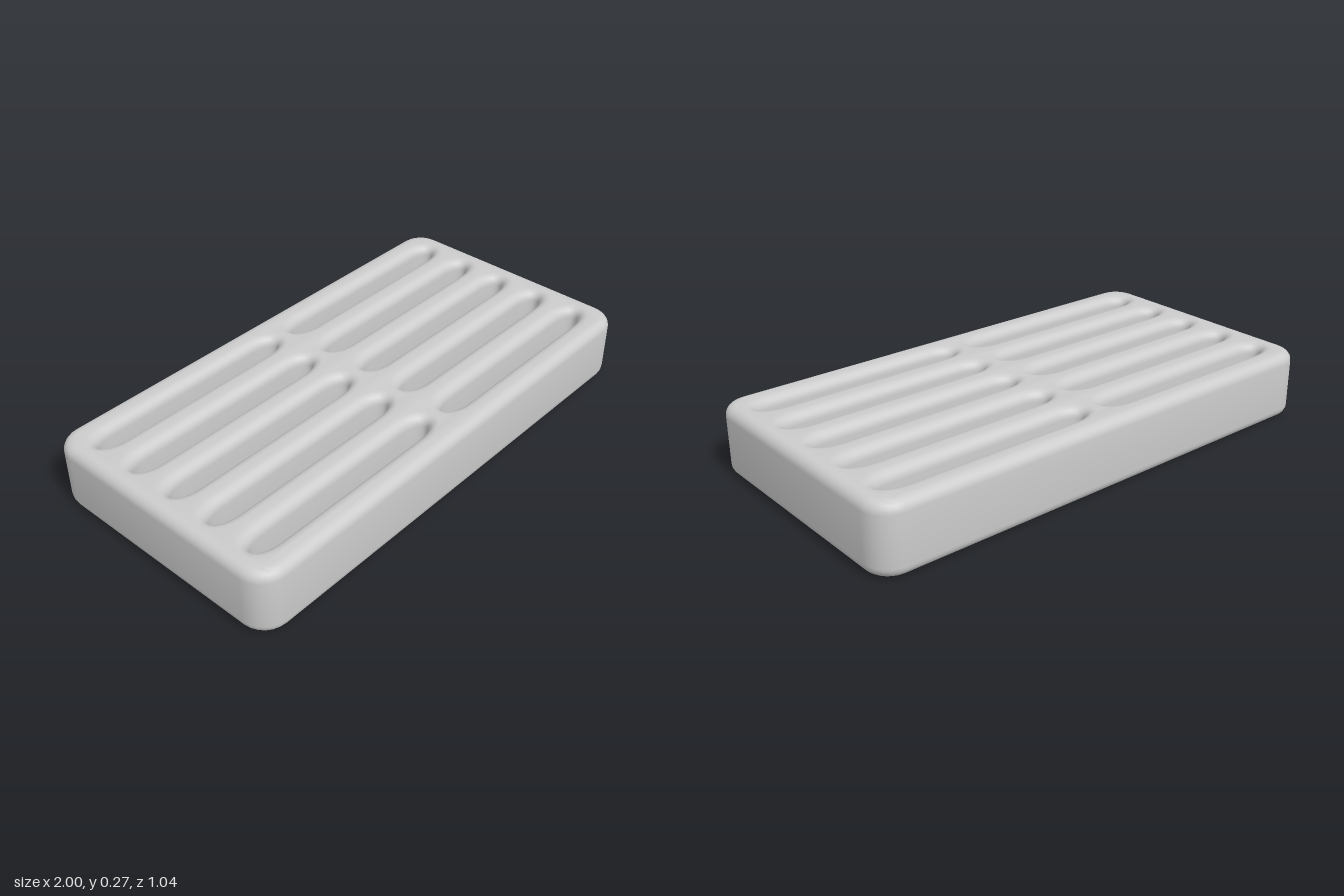
import * as THREE from 'three';
import { toCreasedNormals } from 'three/addons/utils/BufferGeometryUtils.js';

const W = 2, D = 1.04, H = 0.267, BEVEL = 0.04;

// Closed outline with elliptical corners of radii rx, ry around (cx, cy)
function roundedOutline(cx, cy, w, h, rx, ry, steps) {
  const points = [];
  [[1, 1], [-1, 1], [-1, -1], [1, -1]].forEach(([sx, sy], corner) => {
    for (let i = 0; i <= steps; i++) {
      const a = (corner + i / steps) * Math.PI / 2;
      const p = new THREE.Vector2(
        cx + sx * (w / 2 - rx) + rx * Math.cos(a),
        cy + sy * (h / 2 - ry) + ry * Math.sin(a));
      if (!points.length || p.distanceTo(points[points.length - 1]) > 1e-4) points.push(p);
    }
  });
  if (points[0].distanceTo(points[points.length - 1]) < 1e-4) points.pop();
  return points;
}

export function createModel() {
  const group = new THREE.Group();
  group.name = 'slottedBlock';

  // Rounded slab outline
  const outline = new THREE.Shape(roundedOutline(0, 0, W, D, 0.1, 0.1, 6));

  // Two columns of five long slots, either side of the middle rib
  for (const side of [-1, 1]) {
    for (let row = -2; row <= 2; row++) {
      outline.holes.push(new THREE.Path(
        roundedOutline(side * 0.477, row * 0.188, 0.862, 0.078, 0.085, 0.039, 6)));
    }
  }

  // Round over the outer rim and every slot edge, top and bottom
  const geometry = new THREE.ExtrudeGeometry(outline, {
    depth: H - 2 * BEVEL,
    bevelEnabled: true,
    bevelThickness: BEVEL,
    bevelSize: BEVEL,
    bevelOffset: -BEVEL,
    bevelSegments: 6,
  });
  geometry.rotateX(-Math.PI / 2);
  geometry.translate(0, BEVEL, 0);

  const grate = new THREE.Mesh(
    toCreasedNormals(geometry, 0.8),
    new THREE.MeshStandardMaterial({ color: 0xcccccc }));
  grate.name = 'grate';
  group.add(grate);
  return group;
}
